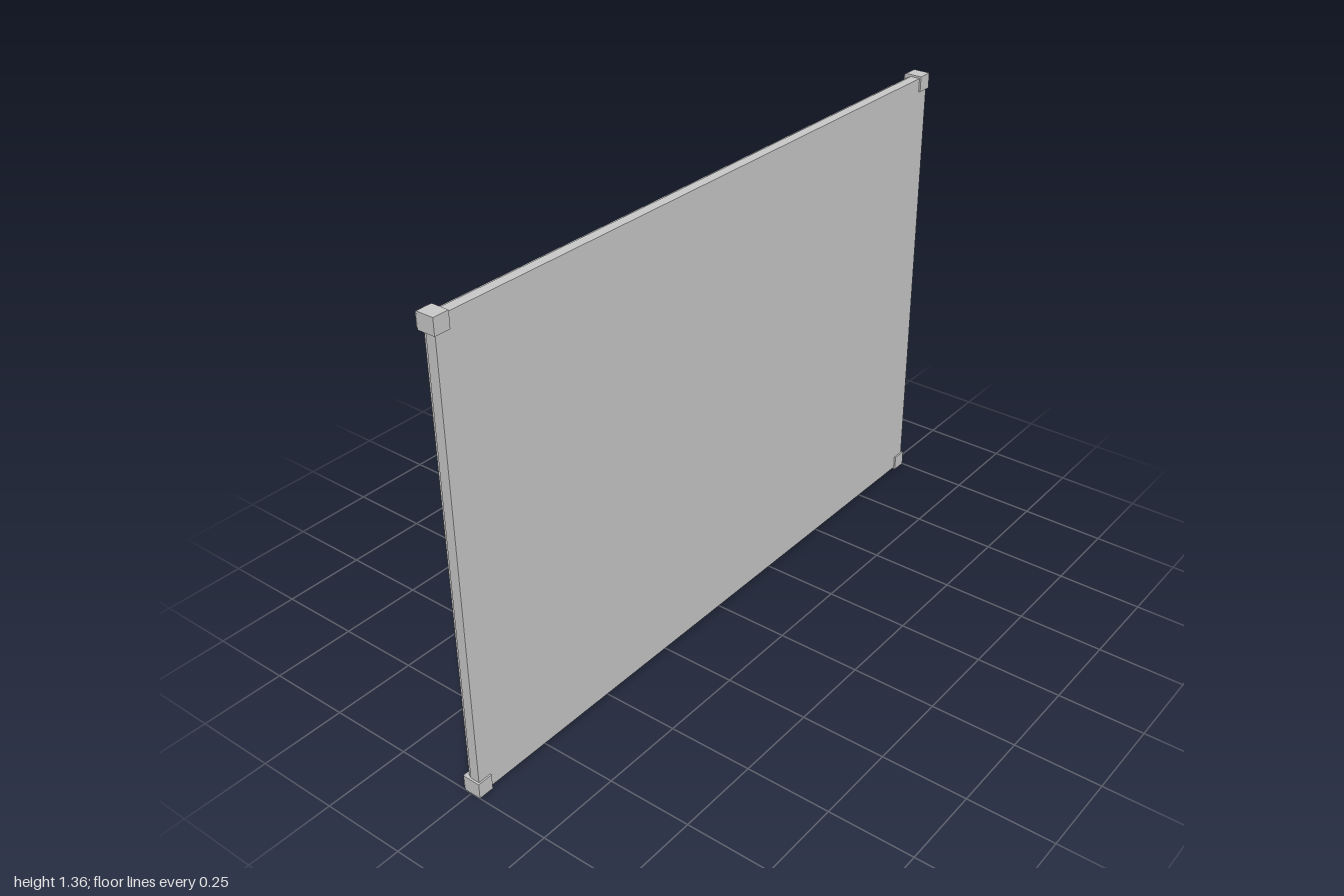
import * as THREE from 'three';

const W = 2, H = 1.36;          // overall size
const CORNER = 0.046;           // corner block size
const INSET = 0.006;            // rails sit slightly inside the corner blocks
const FRONT = 0.025;            // front face of the sheet

const material = new THREE.MeshStandardMaterial({ color: 0xcccccc, flatShading: true });

// Frame rail running along y; profile x = distance inward from the outer edge, y = depth
function railGeometry(length, half) {
  const profile = [
    [0, 0.022], [0, -0.004], [0.003, -0.006], [0.003, -0.012],
    [0.010, -0.021], [0.030, -0.021], [0.036, -0.014], [0.036, -0.006],
    [0.041, -0.004], [0.041, 0.022],
  ].map(([x, y]) => new THREE.Vector2(x, y));
  const geo = new THREE.ExtrudeGeometry(new THREE.Shape(profile), { depth: length, bevelEnabled: false });
  geo.translate(0, 0, -length / 2);
  geo.rotateX(Math.PI / 2);
  geo.translate(-half, 0, 0);
  return geo;
}

// Corner block whose back edges are chamfered
function cornerGeometry() {
  const geo = new THREE.BoxGeometry(CORNER, CORNER, 0.06, 1, 1, 2).toNonIndexed();
  const p = geo.attributes.position;
  for (let i = 0; i < p.count; i++) {
    const z = p.getZ(i);
    if (Math.abs(z) < 0.001) p.setZ(i, -0.021);
    else if (z < 0) p.setXY(i, p.getX(i) * 0.8, p.getY(i) * 0.8);
  }
  geo.computeVertexNormals();
  return geo;
}

export function createModel() {
  const model = new THREE.Group();
  model.name = 'framedPanel';
  const frame = new THREE.Group();
  frame.name = 'frame';
  frame.position.y = H / 2;
  model.add(frame);

  const add = (name, geo) => {
    const mesh = new THREE.Mesh(geo, material);
    mesh.name = name;
    frame.add(mesh);
    return mesh;
  };

  // Flat sheet covering the whole front
  const sheet = add('panel', new THREE.BoxGeometry(W - 2 * INSET, H - 2 * INSET, 0.012));
  sheet.position.z = FRONT - 0.006;

  // Four rails, turned a quarter each
  const names = ['rightRail', 'bottomRail', 'leftRail', 'topRail'];
  names.forEach((_, k) => {
    const upright = k % 2 === 0;
    const geo = railGeometry((upright ? H : W) - CORNER, (upright ? W : H) / 2 - INSET);
    const name = ['rightPost', 'bottomRail', 'leftPost', 'topRail'][k];
    add(name, geo).rotation.z = k * Math.PI / 2;
  });

  // Corner blocks
  const block = cornerGeometry();
  for (const sx of [-1, 1]) {
    for (const sy of [-1, 1]) {
      add('cornerBlock', block).position.set(sx * (W - CORNER) / 2, sy * (H - CORNER) / 2, 0);
    }
  }
  return model;
}
